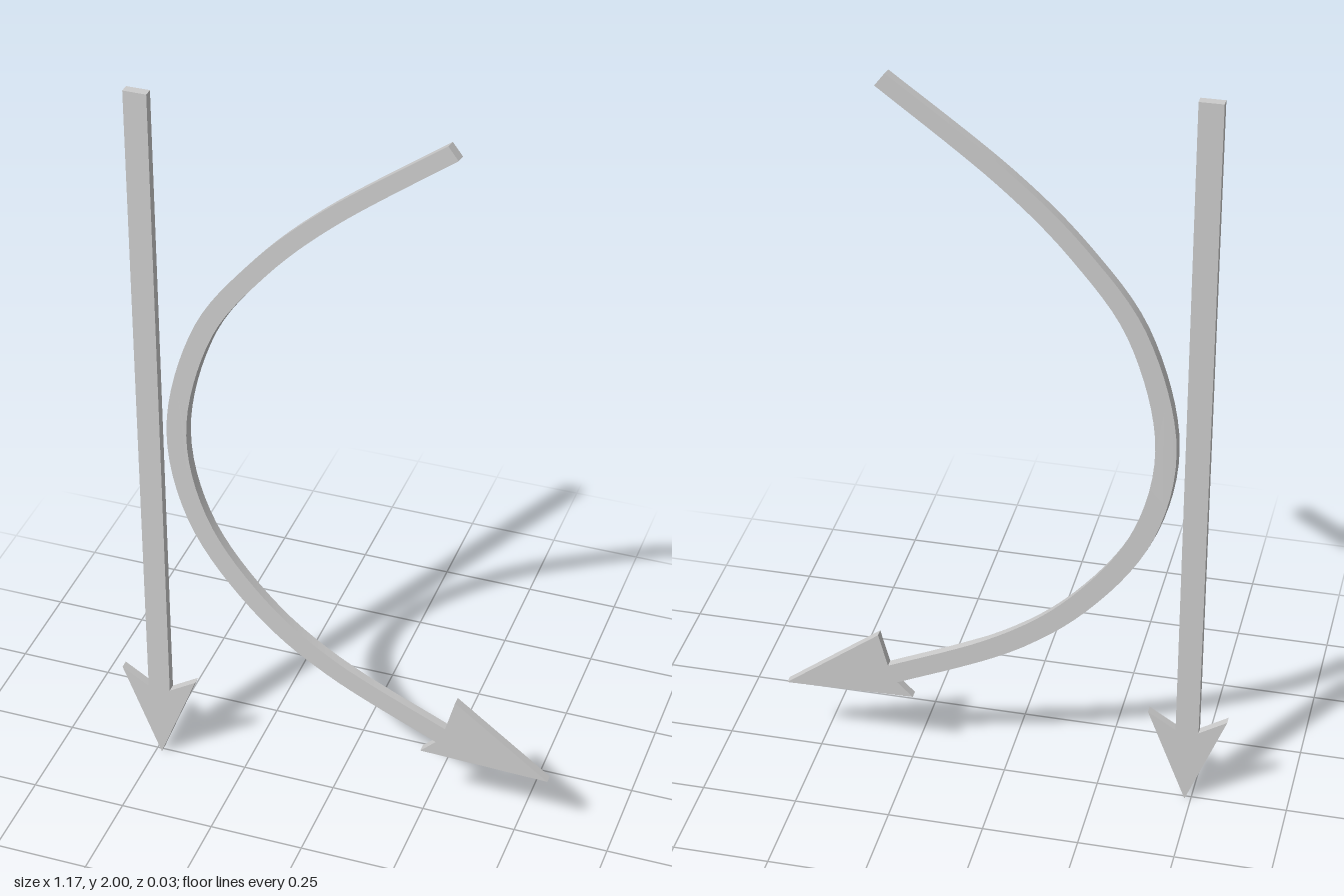
import * as THREE from 'three';
import { toCreasedNormals } from 'three/addons/utils/BufferGeometryUtils.js';

const DEPTH = 0.023;

// Flat plate from an outline, centred on z = 0
function plate(points, name, bend) {
  let geo = new THREE.ExtrudeGeometry(new THREE.Shape(points), { depth: DEPTH, bevelEnabled: false });
  geo.translate(0, 0, -DEPTH / 2);
  if (bend) {
    const p = geo.attributes.position;
    for (let i = 0; i < p.count; i++) {
      const [x, y, z] = bend(p.getX(i), p.getY(i), p.getZ(i));
      p.setXYZ(i, x, y, z);
    }
  }
  geo = toCreasedNormals(geo, 0.5);
  const mesh = new THREE.Mesh(geo, new THREE.MeshStandardMaterial({ color: 0xcccccc }));
  mesh.name = name;
  return mesh;
}

const toPoints = (list) => list.map(([x, y]) => new THREE.Vector2(x, y));

// Straight arrow pointing down, mirrored about its own axis
function straightArrow() {
  const cx = -0.484;
  const half = [[0.03, 2], [0.03, 0.218], [0.103, 0.264], [0, 0]];
  const outline = [
    ...half.map(([x, y]) => [cx + x, y]),
    ...half.slice(0, 3).reverse().map(([x, y]) => [cx - x, y]),
  ];
  return plate(toPoints(outline), 'straightArrow');
}

// Bowed arrow: tapering ribbon along a curve, closed by a barbed head
function curvedArrow() {
  const path = new THREE.SplineCurve(toPoints([
    [0.291, 1.979], [0, 1.757], [-0.19, 1.57], [-0.335, 1.36], [-0.407, 1.07],
    [-0.355, 0.8], [-0.2, 0.575], [0, 0.415], [0.296, 0.272],
  ]));
  const inner = [], outer = [], steps = 56;
  for (let i = 0; i <= steps; i++) {
    const u = i / steps;
    const p = path.getPointAt(u), t = path.getTangentAt(u);
    const w = THREE.MathUtils.lerp(0.021, 0.0275, Math.min(1, u * 1.6));
    inner.push([p.x - t.y * w, p.y + t.x * w]);
    outer.push([p.x + t.y * w, p.y - t.x * w]);
  }
  const head = [[0.333, 0.39], [0.585, 0.198], [0.243, 0.207]];
  // The upper half leans back slightly and its walls are a little skewed
  const lean = (x, y, z) => [
    y > 0.42 ? x - 0.15 * z : x, y, z - 0.007 * Math.max(0, y - 1),
  ];
  return plate(toPoints([...inner, ...head, ...outer.reverse()]), 'curvedArrow', lean);
}

export function createModel() {
  const group = new THREE.Group();
  group.name = 'arrows';
  group.add(straightArrow(), curvedArrow());
  return group;
}
